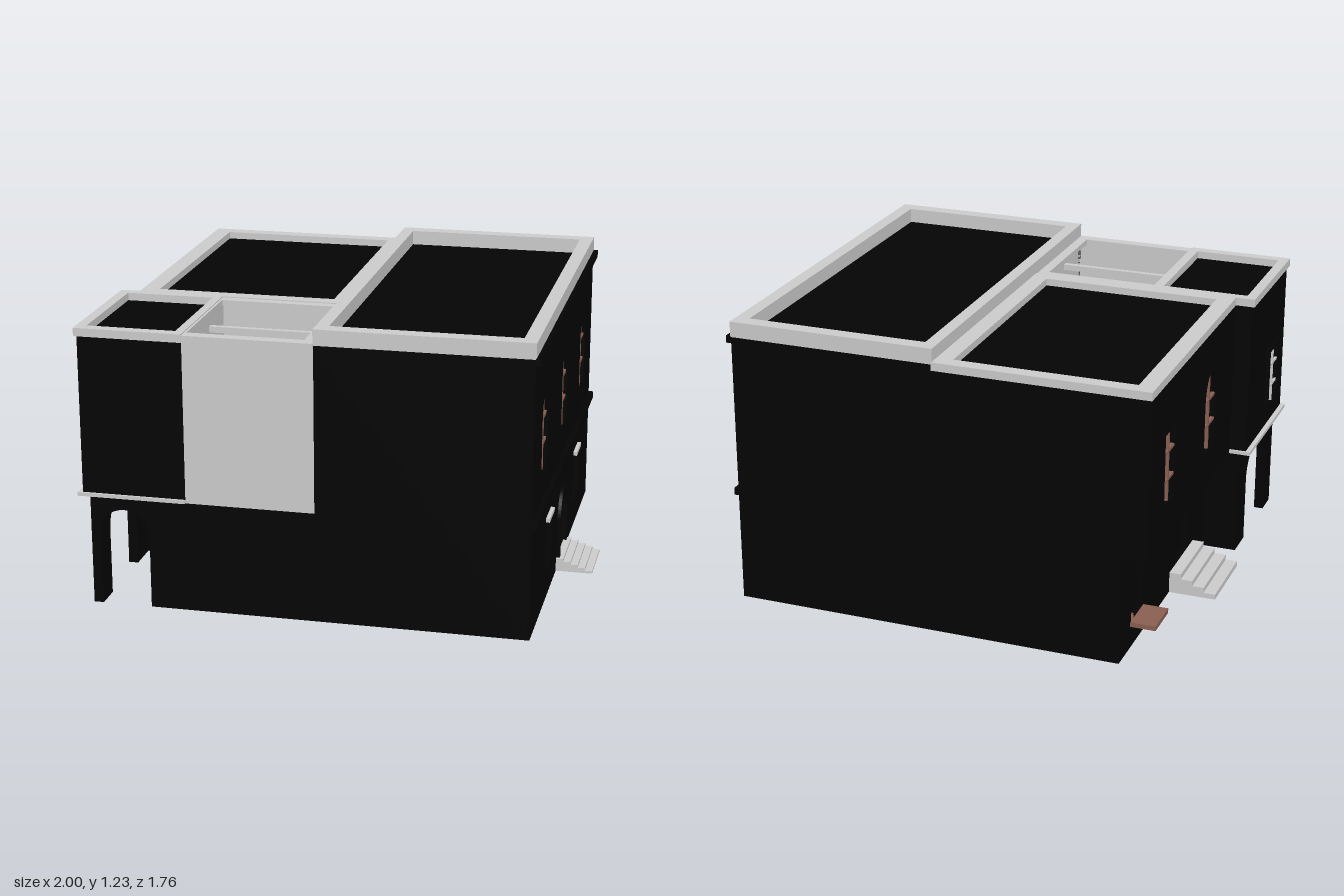
import * as THREE from 'three';

const dark = new THREE.MeshStandardMaterial({ color: 0x040404 });
const darkBoth = new THREE.MeshStandardMaterial({ color: 0x040404, side: THREE.DoubleSide });
const stone = new THREE.MeshStandardMaterial({ color: 0xcccccc });
const stoneBoth = new THREE.MeshStandardMaterial({ color: 0xcccccc, side: THREE.DoubleSide });
const wood = new THREE.MeshStandardMaterial({ color: 0x8a5f52 });

function add(parent, name, geometry, material) {
  const mesh = new THREE.Mesh(geometry, material);
  mesh.name = name;
  parent.add(mesh);
  return mesh;
}

// Box given by its extents
function box(parent, name, x0, x1, y0, y1, z0, z1, material) {
  const g = new THREE.BoxGeometry(x1 - x0, y1 - y0, z1 - z0);
  g.translate((x0 + x1) / 2, (y0 + y1) / 2, (z0 + z1) / 2);
  return add(parent, name, g, material);
}

// Flat upright panel in a facade's own frame (u across, y up)
function panel(parent, name, u0, u1, y0, y1, z, material) {
  const g = new THREE.PlaneGeometry(u1 - u0, y1 - y0);
  g.translate((u0 + u1) / 2, (y0 + y1) / 2, z);
  return add(parent, name, g, material);
}

// Horizontal panel
function deck(parent, name, x0, x1, y, z0, z1) {
  const g = new THREE.PlaneGeometry(x1 - x0, z1 - z0);
  g.rotateX(-Math.PI / 2);
  g.translate((x0 + x1) / 2, y, (z0 + z1) / 2);
  return add(parent, name, g, darkBoth);
}

function rectPath(x0, x1, y0, y1, Kind = THREE.Path) {
  const p = new Kind();
  p.moveTo(x0, y0);
  p.lineTo(x1, y0);
  p.lineTo(x1, y1);
  p.lineTo(x0, y1);
  p.closePath();
  return p;
}

// Opening outline; rise is the height of the arched head (0 = square)
function openingPath(o, Kind = THREE.Path) {
  const { u, w, y0, y1, rise = 0 } = o;
  if (!rise) return rectPath(u - w / 2, u + w / 2, y0, y1, Kind);
  const p = new Kind();
  p.moveTo(u - w / 2, y0);
  p.lineTo(u + w / 2, y0);
  p.lineTo(u + w / 2, y1 - rise);
  p.absellipse(u, y1 - rise, w / 2, rise, 0, Math.PI, false);
  p.closePath();
  return p;
}

function extrude(shape, depth) {
  return new THREE.ExtrudeGeometry(shape, { depth, bevelEnabled: false, curveSegments: 12 });
}

// Horizontal rectangular ring: parapets and ledges
function ring(parent, name, o, i, y0, y1) {
  const shape = rectPath(o[0], o[1], -o[3], -o[2], THREE.Shape);
  shape.holes.push(rectPath(i[0], i[1], -i[3], -i[2]));
  const g = extrude(shape, y1 - y0);
  g.rotateX(-Math.PI / 2);
  g.translate(0, y0, 0);
  return add(parent, name, g, stone);
}

// Facade frame: angle turns its outward side away from +z
function facade(parent, name, angle, x, z) {
  const group = new THREE.Group();
  group.name = name;
  group.rotation.y = angle;
  group.position.set(x, 0, z);
  parent.add(group);
  return group;
}

// Wall with openings, recessed panes and glazing bars
function piercedWall(parent, u0, u1, y0, y1, depth, openings) {
  const shape = rectPath(u0, u1, y0, y1, THREE.Shape);
  for (const o of openings) shape.holes.push(openingPath(o));
  add(parent, 'wall', extrude(shape, depth).translate(0, 0, -depth), dark);
  for (const o of openings) {
    const pane = new THREE.ShapeGeometry(openingPath(o, THREE.Shape), 12);
    add(parent, 'pane', pane.translate(0, 0, -depth + 0.005), darkBoth);
    glazing(parent, o, -depth + 0.015, wood);
  }
}

function glazing(parent, o, z, material) {
  if (!o.bars) return;
  const t = o.t || 0.006;
  box(parent, 'mullion', o.u - t, o.u + t, o.y0, o.y1, z - 0.008, z + 0.008, material);
  for (const y of o.bars)
    box(parent, 'glazingBar', o.u - o.w / 2, o.u + o.w / 2, y - t, y + t, z - 0.008, z + 0.008, material);
}

// Raised surround that follows an opening
function surround(parent, o, border, depth) {
  const big = { ...o, w: o.w + 2 * border, y1: o.y1 + border, rise: o.rise ? o.rise + border : 0 };
  const shape = openingPath(big, THREE.Shape);
  shape.holes.push(openingPath({ ...o, y0: o.y0 + 0.004 }));
  add(parent, 'surround', extrude(shape, depth), dark);
}

// Straight flight against a facade, rising towards the wall
function steps(parent, u0, u1, run, top, count) {
  for (let i = 0; i < count; i++)
    box(parent, 'step', u0, u1, 0.01, 0.01 + (top - 0.01) * (count - i) / count,
      run * i / count, run * (i + 1) / count, stone);
}

export function createModel() {
  const model = new THREE.Group();
  model.name = 'building';

  // Right facade (u = -z)
  const right = facade(model, 'rightFacade', Math.PI / 2, 0.845, 0);
  const door = { u: 0, w: 0.19, y0: 0.012, y1: 0.33, rise: 0.1 };
  const upper = [-0.57, 0, 0.57].map(u => ({ u, w: 0.16, y0: 0.62, y1: 0.96, rise: 0.13, bars: [0.725, 0.835] }));
  const lower = [-0.405, 0.435].map(u => ({ u, w: 0.1, y0: 0.15, y1: 0.355, bars: [0.22, 0.285], t: 0.003 }));
  piercedWall(right, -0.87, 0.87, 0.01, 1.16, 0.03, [door, ...upper, ...lower]);
  surround(right, door, 0.02, 0.014);
  for (const o of lower) {
    surround(right, o, 0.012, 0.008);
    box(right, 'lintel', o.u - 0.07, o.u + 0.07, 0.358, 0.375, 0, 0.016, stone);
  }
  box(right, 'stringCourse', -0.87, 0.87, 0.47, 0.5, 0, 0.02, dark);
  box(right, 'cornice', -0.875, 0.875, 1.135, 1.165, 0, 0.02, dark);
  steps(right, -0.13, 0.13, 0.155, 0.065, 5);

  // Front wall with the arcade arch cut from its lower left
  const f = new THREE.Shape();
  f.moveTo(-0.95, 0.01);
  f.lineTo(-0.91, 0.01);
  f.lineTo(-0.91, 0.33);
  f.absellipse(-0.8075, 0.33, 0.1025, 0.09, Math.PI, 0, true);
  f.lineTo(-0.705, 0.01);
  f.lineTo(0.845, 0.01);
  f.lineTo(0.845, 1.16);
  f.lineTo(-0.02, 1.16);
  f.lineTo(-0.02, 0.47);
  f.lineTo(-0.95, 0.47);
  add(model, 'frontWall', extrude(f, 0.03).translate(0, 0, 0.84), dark);

  // Arcade side wall with its arch (u = z)
  const arcade = facade(model, 'arcadeSide', -Math.PI / 2, -0.95, 0);
  const a = new THREE.Shape();
  a.moveTo(0.29, 0.01);
  a.lineTo(0.43, 0.01);
  a.lineTo(0.43, 0.29);
  a.absellipse(0.595, 0.29, 0.165, 0.13, Math.PI, 0, true);
  a.lineTo(0.76, 0.01);
  a.lineTo(0.87, 0.01);
  a.lineTo(0.87, 0.47);
  a.lineTo(0.29, 0.47);
  add(arcade, 'arcadeWall', extrude(a, 0.04).translate(0, 0, -0.04), dark);

  // Rear block, left side: upper storey overhangs the lower one (u = z)
  const leftUpper = facade(model, 'leftUpperFacade', -Math.PI / 2, -0.91, 0);
  piercedWall(leftUpper, -0.87, 0.29, 0.47, 1.14, 0.03, [
    { u: -0.05, w: 0.16, y0: 0.62, y1: 0.96, rise: 0.13, bars: [0.725, 0.835] },
    { u: -0.61, w: 0.14, y0: 0.62, y1: 0.92, bars: [0.71, 0.83] },
  ]);
  const leftLower = facade(model, 'leftLowerFacade', -Math.PI / 2, -0.8, 0);
  piercedWall(leftLower, -0.87, 0.29, 0.01, 0.47, 0.03, [
    { u: -0.03, w: 0.18, y0: 0.1, y1: 0.35, rise: 0.09 },
    { u: -0.645, w: 0.15, y0: 0.125, y1: 0.37, rise: 0.07 },
  ]);
  box(leftLower, 'sill', -0.73, -0.56, 0.105, 0.125, -0.02, 0.105, wood);
  steps(leftLower, -0.2, 0.14, 0.2, 0.1, 4);
  deck(model, 'rearUpperFloor', -0.91, -0.02, 0.472, -0.87, 0.29);

  // Rear walls
  const back = facade(model, 'backFacade', Math.PI, 0, -0.87);
  panel(back, 'mainBackWall', -0.845, 0.02, 0.01, 1.16, 0, darkBoth);
  panel(back, 'rearLowerBackWall', 0.02, 0.8, 0.01, 0.47, 0, darkBoth);
  panel(back, 'rearUpperBackWall', 0.02, 0.91, 0.47, 1.14, 0, darkBoth);

  // Inner walls around the courtyard
  const inner = facade(model, 'mainInnerWall', -Math.PI / 2, -0.02, 0);
  panel(inner, 'upperWall', -0.87, 0.87, 0.47, 1.16, 0, stoneBoth);
  panel(inner, 'arcadeEndWall', 0.29, 0.87, 0.01, 0.47, 0, darkBoth);
  panel(model, 'arcadeBackWall', -0.95, -0.02, 0.01, 0.47, 0.29, darkBoth);
  panel(model, 'courtyardBackWall', -0.55, -0.02, 0.47, 1.15, 0.29, stoneBoth);
  panel(model, 'courtyardFrontPanel', -0.55, -0.02, 0.47, 1.15, 0.87, stoneBoth);
  box(model, 'courtyardDoorSill', -0.4, -0.18, 0, 0.012, 0.29, 0.345, dark);
  for (const z of [0.485, 0.66])
    box(model, 'courtyardBeam', -0.55, -0.02, 1.075, 1.1, z - 0.012, z + 0.012, stone);

  // Corner tower over the arcade
  box(model, 'tower', -0.98, -0.55, 0.471, 1.14, 0.285, 0.87, dark);
  const towerInner = facade(model, 'towerInnerWall', Math.PI / 2, -0.548, 0);
  panel(towerInner, 'facing', -0.87, -0.29, 0.47, 1.15, 0, stoneBoth);
  ring(model, 'towerLedge', [-1, -0.55, 0.275, 0.88], [-0.975, -0.555, 0.29, 0.865], 0.47, 0.485);
  const towerSide = facade(model, 'towerSide', -Math.PI / 2, -0.98, 0);
  const towerWindow = { u: 0.66, w: 0.13, y0: 0.58, y1: 0.83, bars: [0.66, 0.76], t: 0.005 };
  surround(towerSide, towerWindow, 0.02, 0.014);
  glazing(towerSide, towerWindow, 0.002, stone);

  // Roofs and parapets
  deck(model, 'mainRoof', -0.02, 0.845, 1.163, -0.87, 0.87);
  ring(model, 'mainParapet', [-0.022, 0.847, -0.872, 0.872], [0.03, 0.79, -0.81, 0.81], 1.16, 1.225);
  deck(model, 'rearRoof', -0.9, -0.03, 1.142, -0.87, 0.28);
  ring(model, 'rearParapet', [-0.912, -0.02, -0.88, 0.29], [-0.84, -0.09, -0.82, 0.23], 1.138, 1.172);
  ring(model, 'towerParapet', [-0.992, -0.55, 0.28, 0.876], [-0.95, -0.585, 0.32, 0.83], 1.138, 1.172);
  ring(model, 'courtyardParapet', [-0.55, -0.02, 0.29, 0.876], [-0.54, -0.065, 0.33, 0.828], 1.145, 1.168);
  return model;
}
